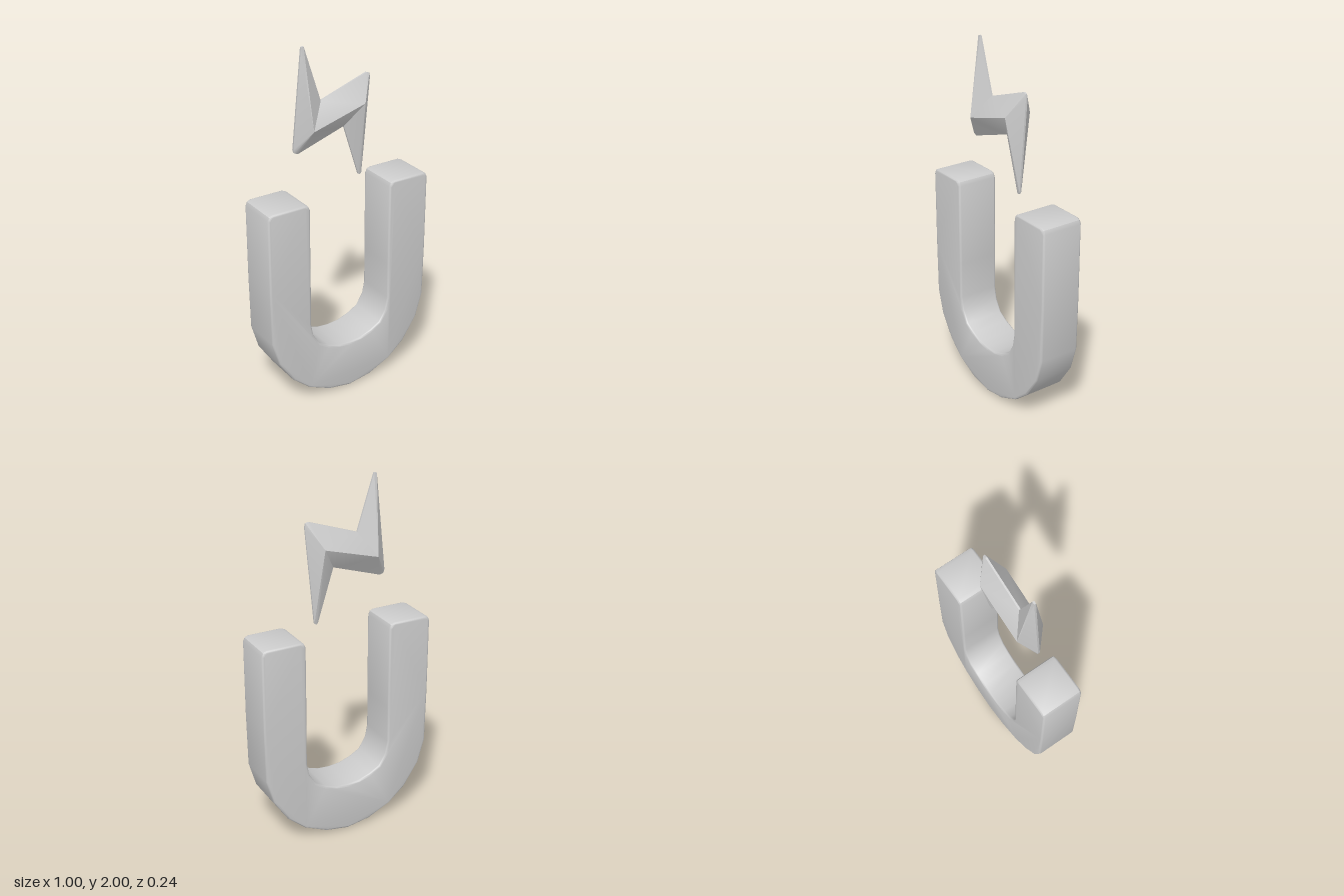
import * as THREE from 'three';
import { toCreasedNormals } from 'three/addons/utils/BufferGeometryUtils.js';

const material = new THREE.MeshStandardMaterial({ color: 0xcccccc });

// Horseshoe magnet: right half of the outline, mirrored, then extruded with a small bevel
function createMagnet() {
  const outer = [[0, 0.003], [0.135, 0.025], [0.268, 0.085], [0.368, 0.17], [0.455, 0.302], [0.495, 0.44],
    [0.5, 0.75], [0.5, 1.17], [0.491, 1.191], [0.47, 1.2]];
  const inner = [[0.28, 1.2], [0.259, 1.191], [0.25, 1.17], [0.25, 0.7], [0.252, 0.49], [0.238, 0.415], [0.198, 0.348],
    [0.14, 0.315], [0.07, 0.291], [0, 0.285]];
  const half = [...outer, ...inner];
  const mirrored = half.slice(1, -1).reverse().map(([x, y]) => [-x, y]);
  const shape = new THREE.Shape([...half, ...mirrored].map(([x, y]) => new THREE.Vector2(x, y)));
  const bevel = 0.012, depth = 0.24;
  const geometry = new THREE.ExtrudeGeometry(shape, {
    depth: depth - 2 * bevel, bevelThickness: bevel, bevelSize: bevel, bevelOffset: -bevel, bevelSegments: 3,
  });
  geometry.translate(0, 0, bevel - depth / 2);
  const mesh = new THREE.Mesh(toCreasedNormals(geometry, 0.7), material);
  mesh.name = 'horseshoeMagnet';
  return mesh;
}

// Lightning bolt: a thin rim rising to a central ridge on both faces
function createBolt() {
  const rim = 0.005, height = 0.078;
  const ridge = [[-0.197, 1.572], [0.114, 1.66]];
  // Counter-clockwise outline; the third value is the ridge end each point joins
  const outline = [
    [-0.207, 2.0, 0], [-0.222, 1.997, 0], [-0.277, 1.468, 0], [-0.271, 1.449, 0], [-0.25, 1.441, 0],
    [0.03, 1.532, 1], [0.122, 1.24, 1], [0.131, 1.233, 1], [0.142, 1.24, 1], [0.191, 1.77, 1],
    [0.186, 1.79, 1], [0.168, 1.796, 1], [-0.11, 1.7, 0],
  ];
  const positions = [];
  const triangle = (a, b, c) => positions.push(...a, ...b, ...c);
  outline.forEach((p, i) => {
    const q = outline[(i + 1) % outline.length];
    for (const side of [1, -1]) {
      const a = [p[0], p[1], side * rim], b = [q[0], q[1], side * rim];
      const top = [...ridge[p[2]], side * height], next = [...ridge[q[2]], side * height];
      const face = (u, v, w) => (side > 0 ? triangle(u, v, w) : triangle(v, u, w));
      face(a, b, top);
      if (p[2] !== q[2]) face(b, next, top);
    }
    const [a, b, c, d] = [[p, -rim], [q, -rim], [q, rim], [p, rim]].map(([v, z]) => [v[0], v[1], z]);
    triangle(a, b, c);
    triangle(a, c, d);
  });
  const geometry = new THREE.BufferGeometry();
  geometry.setAttribute('position', new THREE.Float32BufferAttribute(positions, 3));
  const mesh = new THREE.Mesh(toCreasedNormals(geometry, 0.5), material);
  mesh.name = 'lightningBolt';
  return mesh;
}

export function createModel() {
  const model = new THREE.Group();
  model.name = 'magnetWithBolt';
  model.add(createMagnet(), createBolt());
  return model;
}
